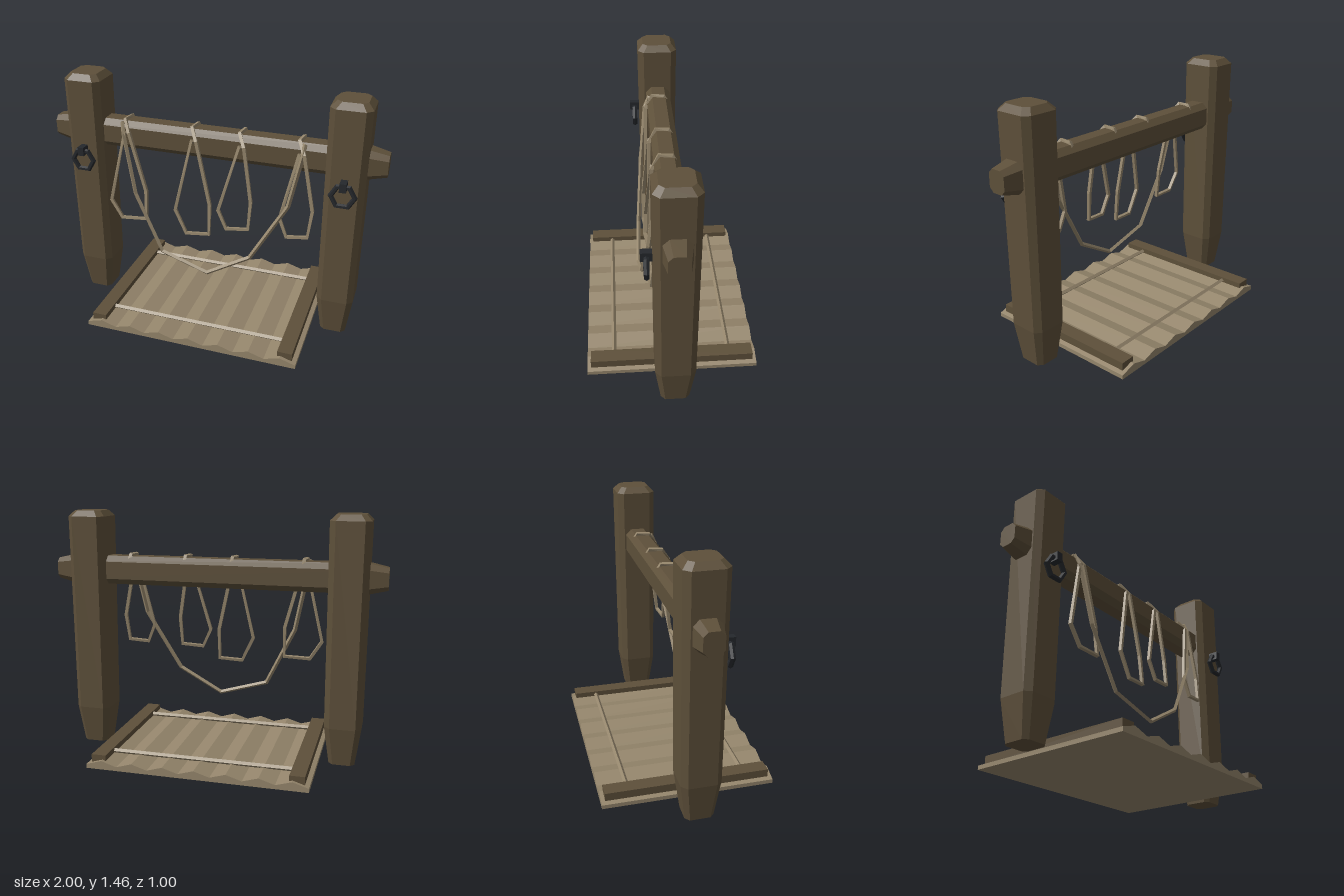
import * as THREE from 'three';

const mat = (name, color, extra = {}) => {
  const m = new THREE.MeshStandardMaterial({ color, flatShading: true, ...extra });
  m.name = name;
  return m;
};

// Chamfered-rectangle sections [y, halfX, halfZ, chamfer] joined along y, with end caps
function loft(sections) {
  const pos = [];
  const rings = sections.map(([y, a, b, c]) => [
    [a, b - c], [a - c, b], [c - a, b], [-a, b - c],
    [-a, c - b], [c - a, -b], [a - c, -b], [a, c - b],
  ].map(([x, z]) => [x, y, z]));
  const tri = (...p) => p.forEach((v) => pos.push(...v));
  for (let s = 0; s < rings.length - 1; s++) {
    for (let i = 0; i < 8; i++) {
      const j = (i + 1) % 8, lo = rings[s], hi = rings[s + 1];
      tri(lo[i], hi[j], lo[j]);
      tri(lo[i], hi[i], hi[j]);
    }
  }
  const bottom = rings[0], top = rings[rings.length - 1];
  for (let i = 1; i < 7; i++) {
    tri(top[0], top[i + 1], top[i]);
    tri(bottom[0], bottom[i], bottom[i + 1]);
  }
  const g = new THREE.BufferGeometry();
  g.setAttribute('position', new THREE.Float32BufferAttribute(pos, 3));
  g.computeVertexNormals();
  return g;
}

// Path with straight runs and sharp corners, one tube ring per point
class Polyline extends THREE.Curve {
  constructor(points) {
    super();
    this.points = points.map((p) => new THREE.Vector3(...p));
  }
  getPointAt(u, target = new THREE.Vector3()) {
    return target.copy(this.points[Math.round(u * (this.points.length - 1))]);
  }
  getTangentAt(u, target = new THREE.Vector3()) {
    const p = this.points, n = p.length - 1, i = Math.round(u * n);
    target.set(0, 0, 0);
    if (i > 0) target.add(p[i].clone().sub(p[i - 1]).normalize());
    if (i < n) target.add(p[i + 1].clone().sub(p[i]).normalize());
    return target.normalize();
  }
}
const ropeGeometry = (points) =>
  new THREE.TubeGeometry(new Polyline(points), points.length - 1, 0.0135, 4, false);

export function createModel() {
  const wood = mat('dark wood', 0x5e503a);
  const fibre = mat('pale rope and planks', 0x95866c);
  const rope = fibre;
  const iron = mat('black iron', 0x25282c);

  const model = new THREE.Group();
  model.name = 'ropeRack';
  const add = (name, geometry, material, x = 0, y = 0, z = 0, parent = model) => {
    const mesh = new THREE.Mesh(geometry, material);
    mesh.name = name;
    mesh.position.set(x, y, z);
    parent.add(mesh);
    return mesh;
  };

  // Posts, each with an iron ring on the front
  const post = loft([
    [0, 0.076, 0.082, 0.025],
    [0.23, 0.108, 0.113, 0.033],
    [1.425, 0.115, 0.12, 0.035],
    [1.46, 0.082, 0.088, 0.028],
  ]);
  for (const [side, s] of [['left', 1], ['right', -1]]) {
    add(side + 'Post', post, wood, s * 0.783);
    const ring = new THREE.Group();
    ring.name = side + 'Ring';
    ring.position.set(s * 0.783, 0.945, 0.148);
    model.add(ring);
    add('hoop', new THREE.TorusGeometry(0.066, 0.016, 6, 6), iron, 0, 0, 0, ring);
    add('bracket', new THREE.BoxGeometry(0.038, 0.052, 0.06), iron, 0, 0.062, 0, ring);
  }

  // Crossbeam with tapered ends
  add('crossbeam', loft([
    [-1, 0.063, 0.055, 0.025],
    [-0.895, 0.086, 0.075, 0.034],
    [0.895, 0.086, 0.075, 0.034],
    [1, 0.063, 0.055, 0.025],
  ]).rotateZ(-Math.PI / 2), wood, 0, 1.103, 0);

  // Hanging loops: top x, then widest left, two bottom corners and right shoulder
  const loops = [
    [-0.53, [-0.625, 0.69], [-0.555, 0.58], [-0.4, 0.588], [-0.402, 0.77]],
    [-0.11, [-0.205, 0.69], [-0.135, 0.543], [0.005, 0.552], [0.005, 0.74]],
    [0.175, [0.065, 0.73], [0.117, 0.618], [0.247, 0.628], [0.255, 0.8]],
    [0.52, [0.435, 0.74], [0.48, 0.628], [0.6, 0.638], [0.617, 0.8]],
  ];
  loops.forEach(([x, a, b, c, d], i) => {
    add('ropeLoop' + (i + 1), ropeGeometry([
      [x + 0.012, 1.12, 0.07],
      [x, 1.13, 0.088],
      [...a, 0.122], [...b, 0.128], [...c, 0.115], [...d, 0.098],
      [x + 0.03, 1.13, 0.088],
      [x - 0.008, 1.196, 0.044],
      [x + 0.004, 1.198, -0.03],
      [x + 0.006, 1.17, -0.045],
    ]), rope);
  });

  // Long sagging rope
  add('saggingRope', ropeGeometry([
    [-0.535, 1.17, 0.04], [-0.55, 1.18, 0.066], [-0.535, 1.12, 0.09],
    [-0.46, 0.755, 0.125], [-0.285, 0.402, 0.155], [0.01, 0.312, 0.168],
    [0.272, 0.463, 0.155], [0.48, 0.82, 0.12],
    [0.54, 1.12, 0.09], [0.545, 1.18, 0.066], [0.53, 1.17, 0.04],
  ]), rope);

  // Ridged mat on the ground
  const outline = new THREE.Shape();
  outline.moveTo(-0.65, 0);
  outline.lineTo(0.65, 0);
  for (let i = 14; i >= 0; i--) {
    outline.lineTo(-0.65 + (i * 1.3) / 14, i % 2 ? 0.052 : 0.024);
  }
  add('ridgedMat', new THREE.ExtrudeGeometry(outline, { depth: 1, bevelEnabled: false }), fibre, 0, 0, -0.5);

  // Side battens and tie rods holding the mat
  for (const s of [-1, 1]) {
    add(s > 0 ? 'leftBatten' : 'rightBatten', new THREE.BoxGeometry(0.087, 0.05, 0.956), wood, s * 0.581, 0.054, 0);
    add(s > 0 ? 'frontTieRod' : 'backTieRod',
      new THREE.CylinderGeometry(0.014, 0.014, 1.1, 4).rotateZ(Math.PI / 2), rope, 0, 0.058, s * 0.34);
  }
  return model;
}
